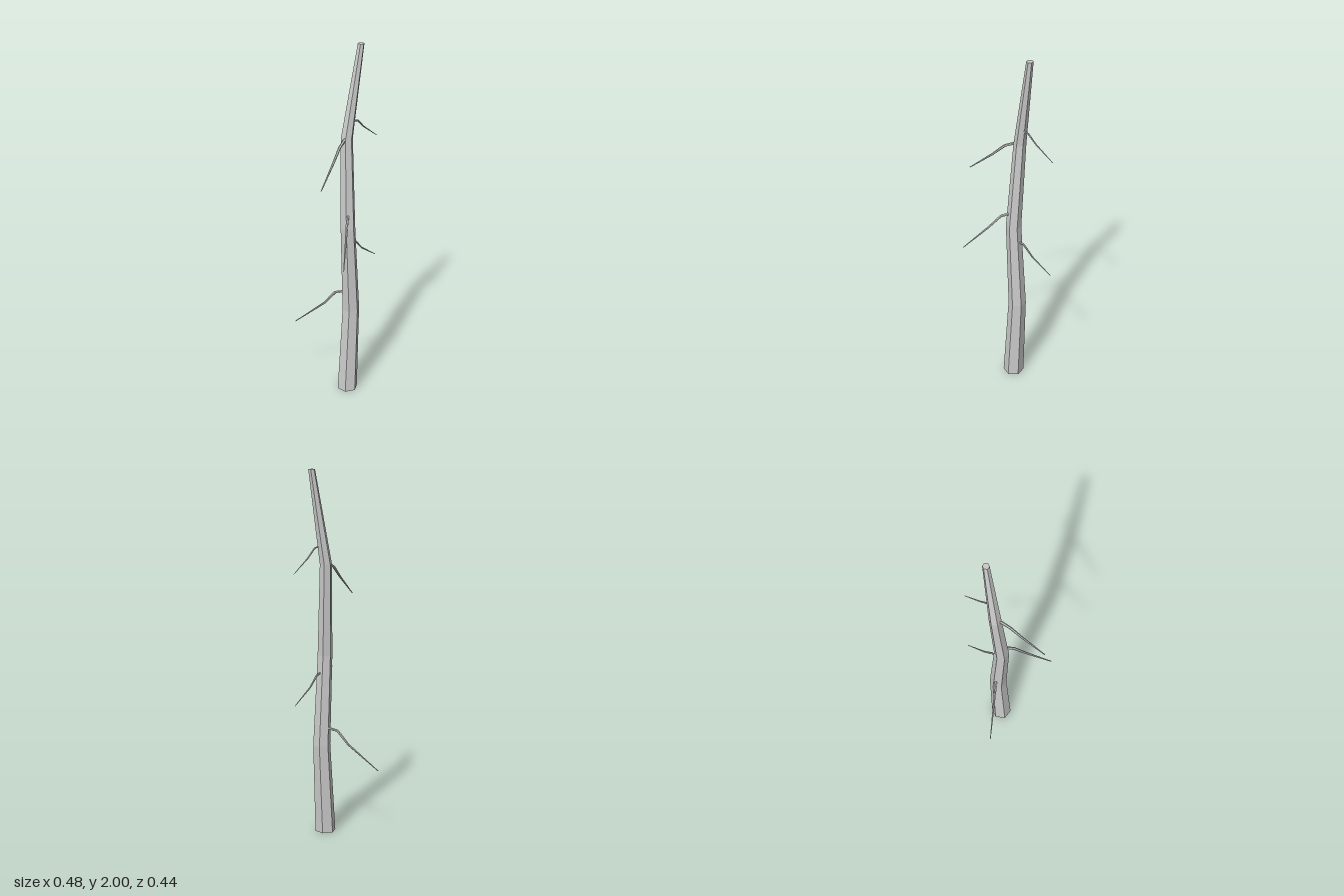
import * as THREE from 'three';

const material = new THREE.MeshStandardMaterial({ color: 0xcccccc, flatShading: true });

// Closed, faceted skin over a chain of rings; each ring is { p, r, u, v }
function loft(name, rings, sides) {
  const pos = [], index = [];
  for (const { p, r, u, v } of rings) {
    for (let i = 0; i < sides; i++) {
      const a = ((i + 0.5) / sides) * Math.PI * 2;
      const q = p.clone().addScaledVector(u, r * Math.cos(a)).addScaledVector(v, r * Math.sin(a));
      pos.push(q.x, q.y, q.z);
    }
  }
  for (let k = 0; k < rings.length - 1; k++) {
    for (let i = 0; i < sides; i++) {
      const j = (i + 1) % sides, a = k * sides, b = a + sides;
      index.push(a + i, b + i, a + j, a + j, b + i, b + j);
    }
  }
  // End caps
  const top = (rings.length - 1) * sides;
  for (let i = 1; i < sides - 1; i++) {
    index.push(0, i, i + 1, top, top + i + 1, top + i);
  }
  const geometry = new THREE.BufferGeometry();
  geometry.setAttribute('position', new THREE.Float32BufferAttribute(pos, 3));
  geometry.setIndex(index);
  const flat = geometry.toNonIndexed();
  flat.computeVertexNormals();
  const mesh = new THREE.Mesh(flat, material);
  mesh.name = name;
  return mesh;
}

// Trunk with level hexagonal rings
function trunk() {
  const u = new THREE.Vector3(1, 0, 0), v = new THREE.Vector3(0, 0, 1);
  const rings = [
    [0.006, 0, 0.056, 0.057],
    [0.032, 0.5, 0.057, 0.048],
    [0.008, 1, 0.055, 0.041],
    [0.029, 1.5, 0.026, 0.033],
    [0.104, 2, 0.054, 0.018],
  ].map(([x, y, z, r]) => ({ p: new THREE.Vector3(x, y, z), r, u, v }));
  return loft('trunk', rings, 6);
}

// Thin drooping branch with rings square to its path
function branch(name, points, thickness) {
  const path = points.map((p) => new THREE.Vector3(...p));
  const last = path.length - 1;
  const taper = [1, 0.95, 0.75, 0.3];
  const rings = path.map((p, k) => {
    const t = path[Math.min(k + 1, last)].clone().sub(path[Math.max(k - 1, 0)]).normalize();
    const u = t.clone().cross(new THREE.Vector3(0, 1, 0)).normalize();
    return { p, r: thickness * taper[k], u, v: u.clone().cross(t) };
  });
  return loft(name, rings, 6);
}

export function createModel() {
  const tree = new THREE.Group();
  tree.name = 'bareTree';
  tree.add(
    trunk(),
    branch('backBranch', [[0.022, 0.602, 0.025], [-0.009, 0.587, -0.024], [-0.04, 0.513, -0.077], [-0.125, 0.377, -0.22]], 0.008),
    branch('lowerLeftBranch', [[0.03, 0.91, 0.053], [0.071, 0.9, 0.052], [0.124, 0.84, 0.051], [0.238, 0.758, 0.049]], 0.006),
    branch('frontRightBranch', [[-0.005, 1.083, 0.066], [-0.045, 1.068, 0.097], [-0.098, 1.0, 0.137], [-0.208, 0.876, 0.22]], 0.008),
    branch('upperRightBranch', [[0.015, 1.507, 0.032], [-0.05, 1.476, 0.047], [-0.114, 1.413, 0.062], [-0.24, 1.306, 0.093]], 0.008),
    branch('upperLeftBranch', [[0.045, 1.6, 0.044], [0.093, 1.587, 0.046], [0.14, 1.54, 0.047], [0.24, 1.466, 0.048]], 0.005),
  );
  return tree;
}
